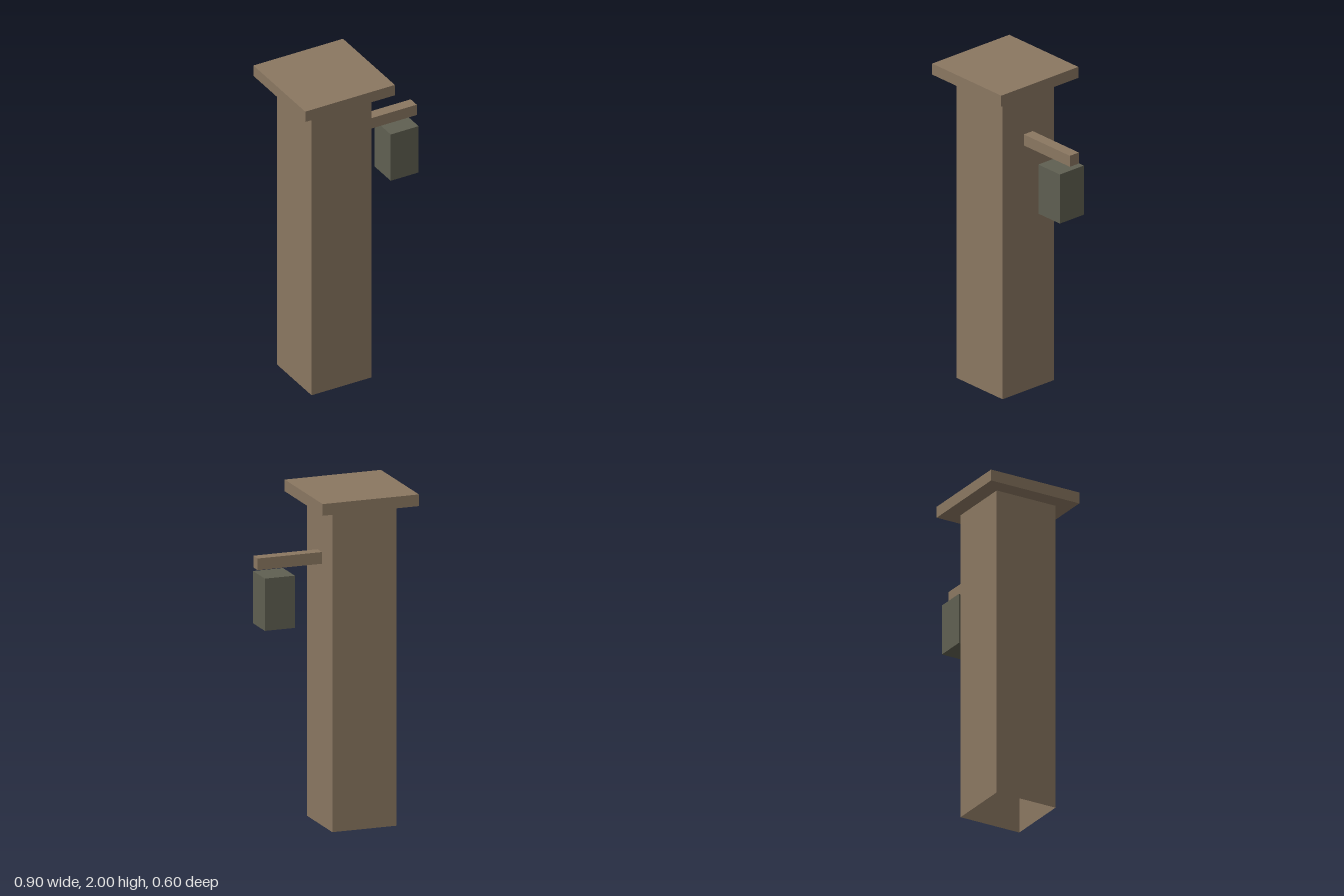
import * as THREE from 'three';

export function createModel() {
  const model = new THREE.Group();
  model.name = 'lanternPost';

  const wood = new THREE.MeshStandardMaterial({ color: 0x8a7761, side: THREE.DoubleSide });
  wood.name = 'brown wood';
  const iron = new THREE.MeshStandardMaterial({ color: 0x5f5f51 });
  iron.name = 'dark grey iron';

  const add = (name, geometry, material, x, y, z = 0) => {
    const mesh = new THREE.Mesh(geometry, material);
    mesh.name = name;
    mesh.position.set(x, y, z);
    model.add(mesh);
  };

  // Hollow square post, open at the foot
  const postHeight = 1.93;
  const postGeometry = new THREE.CylinderGeometry(
    0.2 * Math.SQRT2, 0.2 * Math.SQRT2, postHeight, 4, 1, true, Math.PI / 4
  ).toNonIndexed();
  postGeometry.computeVertexNormals();
  add('post', postGeometry, wood, -0.15, postHeight / 2);

  // Flat square cap
  add('cap', new THREE.BoxGeometry(0.6, 0.07, 0.6), wood, -0.15, 1.965);

  // Arm on the left side, with the lantern floating just below it
  add('arm', new THREE.BoxGeometry(0.4, 0.07, 0.07), wood, 0.25, 1.603);
  add('lantern', new THREE.BoxGeometry(0.187, 0.313, 0.187), iron, 0.335, 1.373);

  return model;
}
